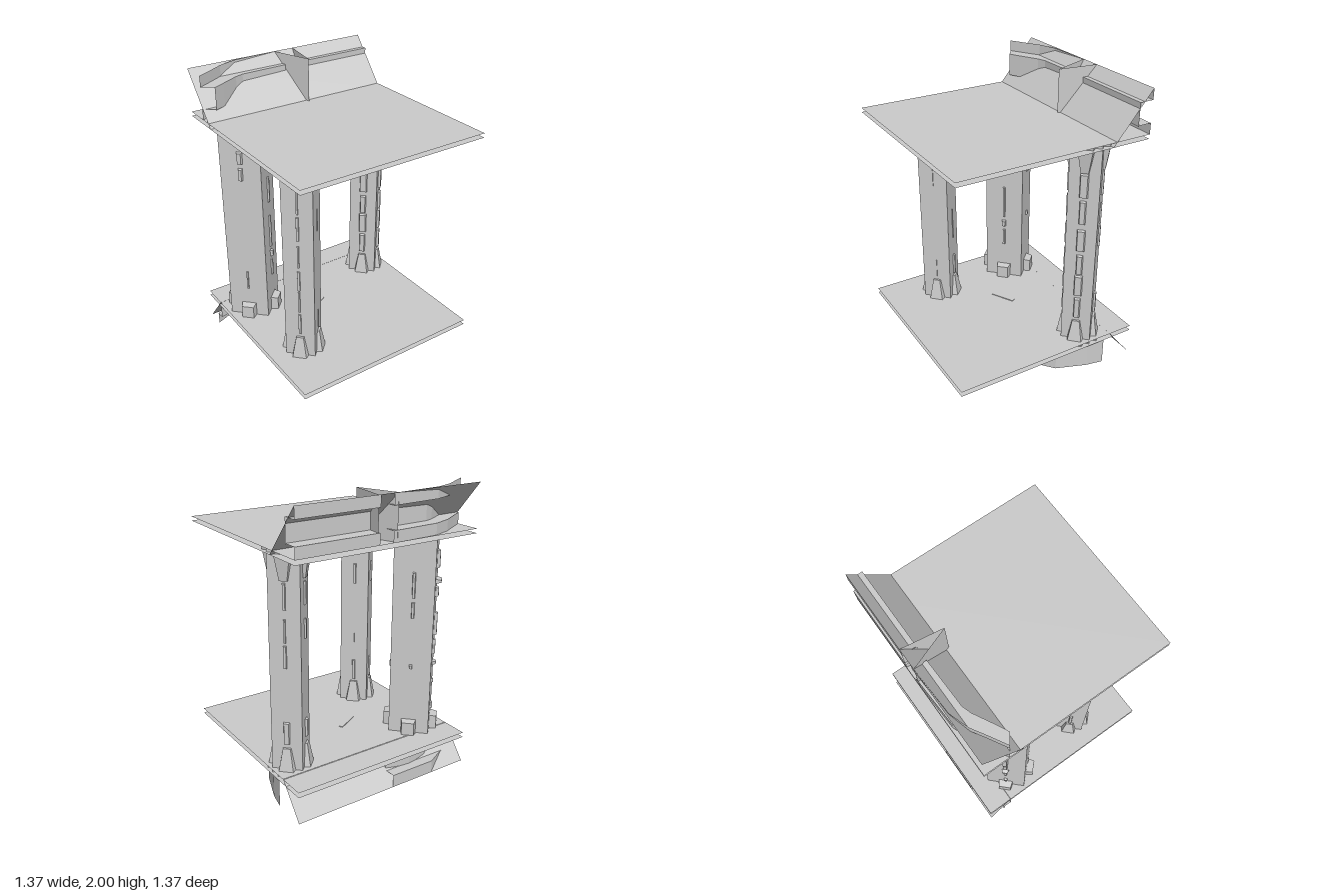
import * as THREE from 'three';

const mat = new THREE.MeshStandardMaterial({ color: 0xcccccc, flatShading: true, side: THREE.DoubleSide });

function add(parent, name, geo) {
  const mesh = new THREE.Mesh(geo, mat);
  mesh.name = name;
  parent.add(mesh);
  return mesh;
}

// Box standing on a wall (wall at z = 0), outer face chamfered
function stone(parent, y0, y1, w, depth) {
  const geo = new THREE.BoxGeometry(w, y1 - y0, depth + 0.02);
  const p = geo.attributes.position;
  const bevel = Math.min(0.012, w * 0.25);
  for (let i = 0; i < p.count; i++) {
    if (p.getZ(i) > 0) {
      p.setX(i, p.getX(i) - Math.sign(p.getX(i)) * bevel);
      p.setY(i, p.getY(i) - Math.sign(p.getY(i)) * bevel);
    }
  }
  add(parent, 'stone', geo).position.set(0, (y0 + y1) / 2, depth / 2 - 0.01);
}

// Tapered foot or head block: wide at yWide, narrow at yThin
function bracket(parent, yWide, yThin, wide, thin) {
  const geo = new THREE.BoxGeometry(1, Math.abs(yThin - yWide), 1);
  const p = geo.attributes.position;
  for (let i = 0; i < p.count; i++) {
    const isWide = (p.getY(i) < 0) === (yWide < yThin);
    const [w, d] = isWide ? wide : thin;
    const outer = p.getZ(i) > 0;
    p.setX(i, Math.sign(p.getX(i)) * w / 2 * (outer ? 0.82 : 1));
    p.setZ(i, outer ? d : -0.02);
  }
  add(parent, yWide < yThin ? 'footBracket' : 'headBracket', geo).position.y = (yWide + yThin) / 2;
}

// Square pillar turned by 45 degrees; stones[k] lists [y0, y1, width, depth] on face k
// Face order: +x+z, +x-z, -x-z, -x+z
function pillar(root, name, x, z, halfDiag, stones, heavy, shallowHead) {
  const g = new THREE.Group();
  g.name = name;
  g.position.set(x, 0, z);
  root.add(g);
  const side = halfDiag * Math.SQRT2;
  const shaft = add(g, 'shaft', new THREE.BoxGeometry(side, 1.51, side));
  shaft.position.y = 0.945;
  shaft.rotation.y = Math.PI / 4;
  for (let k = 0; k < 4; k++) {
    const turn = new THREE.Group();
    turn.name = 'pillarFace';
    turn.rotation.y = Math.PI / 4 + k * Math.PI / 2;
    const face = new THREE.Group();
    face.name = 'faceDetails';
    face.position.z = side / 2;
    turn.add(face);
    g.add(turn);
    if (heavy) {
      stone(face, 0.19, 0.33, 0.11, 0.05);
      stone(face, 1.62, 1.7, 0.1, 0.035);
    } else {
      bracket(face, 0.19, 0.38, [0.13, 0.045], [0.06, 0.015]);
      if (k === shallowHead) bracket(face, 1.7, 1.52, [0.04, 0.012], [0.01, 0.003]);
      else bracket(face, 1.7, 1.5, [0.13, 0.045], [0.06, 0.015]);
    }
    for (const s of stones[k]) stone(face, ...s);
  }
}

// Vertical strip following a plan path of [x, z] points
function ribbon(parent, name, path, y0, y1) {
  const pos = [], idx = [];
  path.forEach(([x, z], i) => {
    pos.push(x, y0, z, x, y1, z);
    if (i) idx.push(2 * i - 2, 2 * i, 2 * i - 1, 2 * i, 2 * i + 1, 2 * i - 1);
  });
  const geo = new THREE.BufferGeometry();
  geo.setAttribute('position', new THREE.Float32BufferAttribute(pos, 3));
  geo.setIndex(idx);
  geo.computeVertexNormals();
  add(parent, name, geo);
}

// Surface between two 3D edges with equal point counts
function loft(parent, name, a, b) {
  const pos = [], idx = [];
  a.forEach((p, i) => {
    pos.push(...p, ...b[i]);
    if (i) idx.push(2 * i - 2, 2 * i, 2 * i - 1, 2 * i, 2 * i + 1, 2 * i - 1);
  });
  const geo = new THREE.BufferGeometry();
  geo.setAttribute('position', new THREE.Float32BufferAttribute(pos, 3));
  geo.setIndex(idx);
  geo.computeVertexNormals();
  add(parent, name, geo);
}

// Horizontal ledge between two plan paths
function ledge(parent, name, a, b, y) {
  const lift = path => path.map(([x, z]) => [x, y, z]);
  loft(parent, name, lift(a), lift(b));
}

export function createModel() {
  const root = new THREE.Group();
  root.name = 'pillaredTile';
  const R = 0.685;

  // Thin double sheets for floor and ceiling
  for (const [name, y] of [['floorLower', 0.19], ['floorUpper', 0.225], ['ceilingLower', 1.67], ['ceilingUpper', 1.7]]) {
    const sheet = add(root, name, new THREE.PlaneGeometry(2 * R, 2 * R));
    sheet.rotation.x = -Math.PI / 2;
    sheet.position.y = y;
  }

  // Pillars with raised edge stones
  const column = [[0.4, 0.57], [0.58, 0.75], [0.75, 0.91], [0.93, 1.1], [1.13, 1.31], [1.32, 1.5]];
  const full = column.map(([a, b], i) => [a, b, i % 2 ? 0.068 : 0.056, 0.018]);
  const slim = column.map(([a, b], i) => [a, b, i % 2 ? 0.02 : 0.03, 0.008]);
  const sparse = [[0.39, 0.56, 0.035, 0.012], [1.16, 1.32, 0.03, 0.012]];
  const thin = [[0.4, 0.55, 0.012, 0.005], [1.16, 1.32, 0.014, 0.006]];

  pillar(root, 'frontPillar', -0.425, 0.262, 0.143,
    [thin, [...sparse, [0.7, 0.94, 0.01, 0.005]], sparse, slim], false, 0);
  pillar(root, 'sidePillar', 0.525, -0.335, 0.143,
    [full, [[0.4, 0.57, 0.055, 0.014], [0.93, 1.09, 0.03, 0.012], [1.1, 1.26, 0.02, 0.01], [1.31, 1.49, 0.03, 0.012]],
      [[0.42, 0.56, 0.05, 0.015], [1.1, 1.24, 0.03, 0.012], [1.32, 1.48, 0.03, 0.012]], full], false, -1);
  const rough = [[0.36, 0.42, 0.04, 0.015], [0.56, 0.6, 0.03, 0.012], [0.7, 0.74, 0.06, 0.025], [0.78, 0.9, 0.04, 0.015],
    [0.92, 1.1, 0.05, 0.02], [1.2, 1.28, 0.06, 0.02], [1.3, 1.34, 0.09, 0.035], [1.4, 1.54, 0.05, 0.02]];
  pillar(root, 'backPillar', -0.465, -0.36, 0.197,
    [[[0.5, 0.64, 0.03, 0.012], [0.66, 0.72, 0.04, 0.02], [0.74, 1.0, 0.025, 0.012], [1.1, 1.3, 0.03, 0.012]],
      [[0.71, 0.75, 0.03, 0.015], [1.08, 1.2, 0.03, 0.012], [1.22, 1.41, 0.03, 0.015]],
      rough, [[0.45, 0.6, 0.02, 0.01], [1.32, 1.42, 0.04, 0.02], [1.44, 1.54, 0.05, 0.02]]], true, -1);

  // Sloping panels along the back edge, above the ceiling and below the floor
  loft(root, 'upperSlope', [[-R, 1.67, -0.405], [R, 1.67, -0.405]], [[-R, 2, -R], [R, 2, -R]]);
  loft(root, 'lowerSlope', [[-R, 0.228, -0.5], [R, 0.228, -0.5]], [[-R, 0, -R], [R, 0, -R]]);

  // Recessed rails of the upper edge: straight on one half, swept forward on the other
  const rails = [
    { inner: [[0.1, -0.588], [R, -0.588]], outer: [[0.1, -R], [R, -R]] },
    { inner: [[-0.61, -0.45], [-0.53, -0.49], [-0.4, -0.56], [-0.34, -0.58], [0, -0.588]],
      outer: [[-R, -0.505], [-0.58, -0.565], [-0.48, -0.625], [-0.35, -0.67], [0, -R]] },
  ];
  for (const { inner, outer } of rails) {
    ribbon(root, 'recessWall', inner, 1.77, 1.925);
    ribbon(root, 'upperRail', outer, 1.925, 2);
    ribbon(root, 'lowerRail', outer, 1.7, 1.775);
    ledge(root, 'upperLedge', inner, outer, 1.925);
    ledge(root, 'lowerLedge', inner, outer, 1.775);
  }

  // Wedge fin dividing the rails
  const fin = [[-0.03, -R], [0.075, -0.408], [0.115, -R]];
  ribbon(root, 'wedgeFin', fin, 1.7, 2);

  // Winding skirt under the floor
  ribbon(root, 'lowerSkirt', [[R, -0.45], [0.66, -0.33], [0.58, -0.12], [0.35, 0.07], [0.25, 0.1], [0.17, 0.1],
    [0.05, 0.01], [0.02, -0.27], [-0.03, -0.45], [-0.06, -0.6]], 0, 0.19);
  ribbon(root, 'lowerSkirtNotch', [[0.07, 0.02], [0.0, -0.02], [-0.02, -0.3]], 0, 0.19);
  const sweep = [[-0.06, -0.6], [-0.25, -0.62], [-0.4, -0.6], [-0.53, -0.54], [-R, -0.5]];
  const step = [[-0.06, -R], [-0.25, -R], [-0.4, -R], [-0.53, -0.62], [-R, -0.56]];
  ribbon(root, 'lowerSweep', sweep, 0.09, 0.19);
  ledge(root, 'lowerStep', sweep, step, 0.09);
  ribbon(root, 'lowerStepFace', step, 0, 0.09);

  // Low sliver on the floor
  const sliver = add(root, 'floorSliver', new THREE.BoxGeometry(0.18, 0.04, 0.03));
  sliver.position.set(-0.09, 0.21, -0.09);
  sliver.rotation.y = 0.5;

  return root;
}
